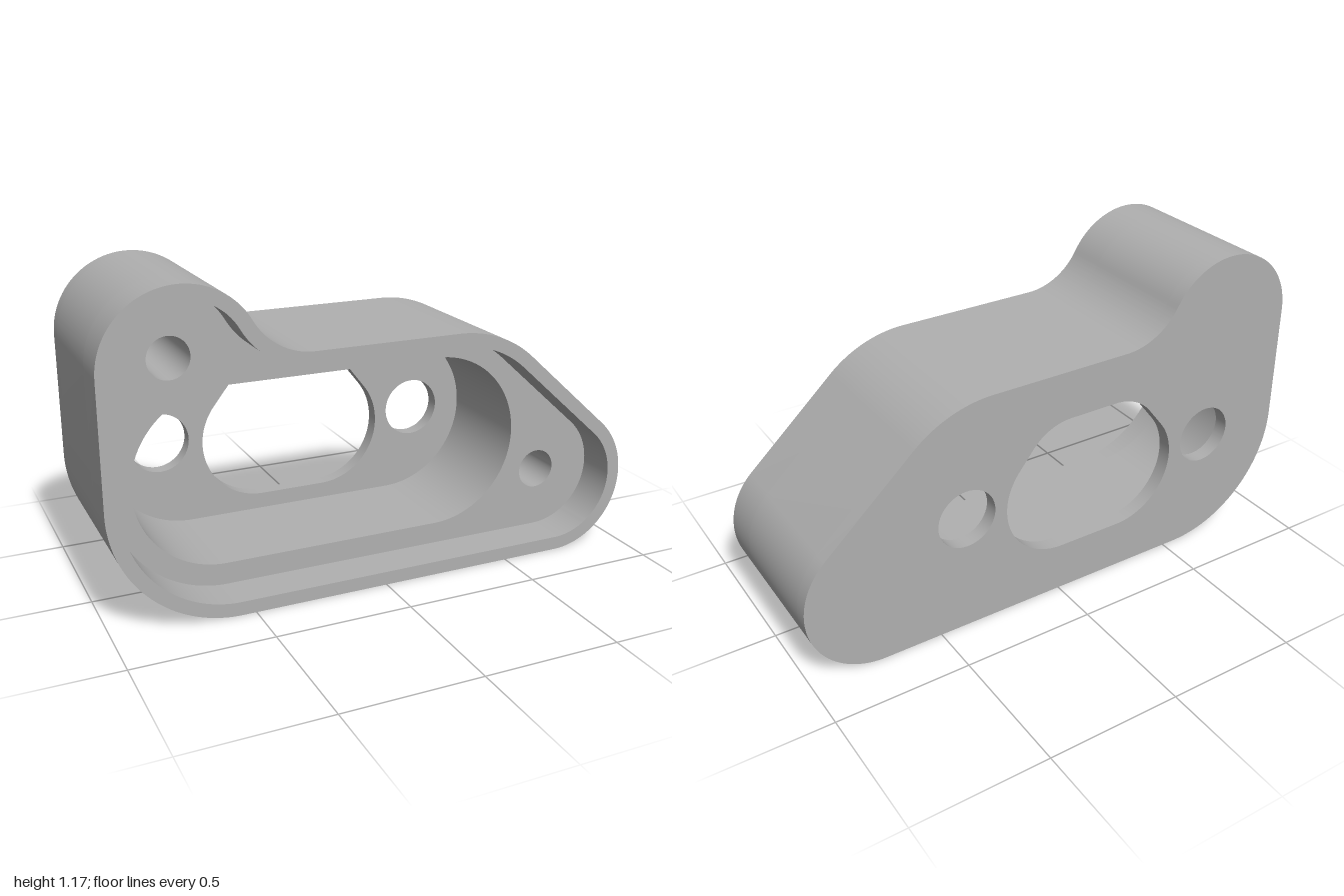
import * as THREE from 'three';
import { toCreasedNormals } from 'three/addons/utils/BufferGeometryUtils.js';

const BACK = -0.3125, FLOOR = -0.257, LEDGE = 0.16, FRONT = 0.3125;

// Adds arcs [cx, cy, radius, startDeg, endDeg, clockwise]; straight edges join them
function trace(path, arcs) {
  const rad = THREE.MathUtils.degToRad;
  for (const [x, y, r, a, b, cw = false] of arcs) path.absarc(x, y, r, rad(a), rad(b), cw);
  path.closePath();
  return path;
}

// Outer outline, shrunk evenly by the inset
const outline = (path, inset = 0) => trace(path, [
  [-0.725, 0.895, 0.275 - inset, 29.5, 180],          // upper lobe
  [-0.55, 0.45, 0.45 - inset, 180, 270],              // lower corner
  [0.72, 0.28, 0.28 - inset, 270, 407.7],             // side lobe
  [0.275, 0.455, 0.45 - inset, 47.7, 90],             // shoulder
  [-0.27, 1.153, 0.248 + inset, 270, 209.5, true],    // concave fillet
]);

const circle = (x, y, r) => trace(new THREE.Path(), [[x, y, r, 0, 360]]);

// Oval pocket behind the ledge
const pocket = () => trace(new THREE.Path(), [
  [0.275, 0.455, 0.325, -90, 90],
  [-0.55, 0.455, 0.325, 90, 270],
]);

// Central window, narrower at the top
const windowOpening = () => trace(new THREE.Path(), [
  [-0.01, 0.425, 0.235, -90, 38],
  [-0.04, 0.52, 0.2, 38, 90],
  [-0.23, 0.52, 0.2, 90, 142],
  [-0.26, 0.425, 0.235, 142, 270],
]);

export function createModel() {
  const group = new THREE.Group();
  group.name = 'housing';
  const grey = new THREE.MeshStandardMaterial({ color: 0xb0b0b0 });
  grey.name = 'grey';

  function layer(name, z0, z1, holes) {
    const shape = outline(new THREE.Shape());
    shape.holes.push(...holes);
    const geometry = new THREE.ExtrudeGeometry(shape, {
      depth: z1 - z0, bevelEnabled: false, curveSegments: 24,
    });
    geometry.translate(0, 0, z0);
    const mesh = new THREE.Mesh(toCreasedNormals(geometry, 0.6), grey);
    mesh.name = name;
    group.add(mesh);
  }

  // Thin back plate with the window and two through holes
  layer('backPlate', BACK, FLOOR, [
    windowOpening(), circle(-0.66, 0.455, 0.1125), circle(0.385, 0.455, 0.1125),
  ]);
  // Thick body with the pocket and two blind screw holes
  layer('body', FLOOR, LEDGE, [
    pocket(), circle(-0.725, 0.895, 0.075), circle(0.72, 0.28, 0.075),
  ]);
  // Narrow rim around the front
  layer('frontRim', LEDGE, FRONT, [outline(new THREE.Path(), 0.05)]);

  return group;
}
